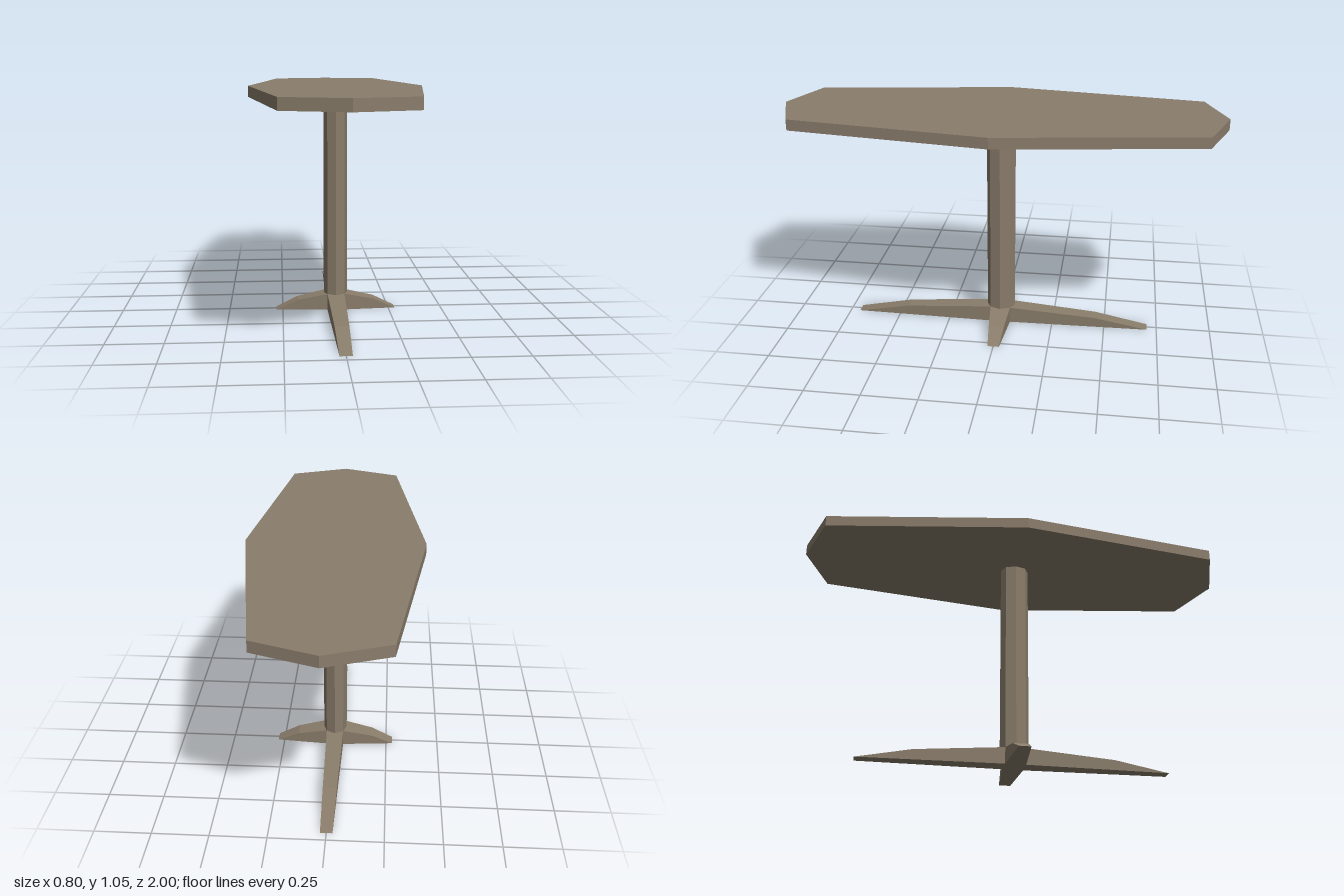
import * as THREE from 'three';

const material = new THREE.MeshStandardMaterial({ color: 0x8a7d6b, flatShading: true });

// Upright eight-sided prism; corner (cx, cz) sits between the axis points rx and rz.
function octagonPrism(name, rx, rz, cx, cz, y0, y1) {
  const outline = [[rx, 0], [cx, cz], [0, rz], [-cx, cz], [-rx, 0], [-cx, -cz], [0, -rz], [cx, -cz]];
  const shape = new THREE.Shape(outline.map(([x, z]) => new THREE.Vector2(x, z)));
  const geometry = new THREE.ExtrudeGeometry(shape, { depth: y1 - y0, bevelEnabled: false });
  geometry.rotateX(-Math.PI / 2).translate(0, y0, 0);
  const mesh = new THREE.Mesh(geometry, material);
  mesh.name = name;
  return mesh;
}

// Foot arm along +x: sloping side profile, narrowing evenly from hub to tip.
function footArm(name, start, mid, reach, hubHalf, tipHalf, angle) {
  const profile = [[start, 0], [reach, 0], [mid, 0.047], [start, 0.077]];
  const shape = new THREE.Shape(profile.map(([x, y]) => new THREE.Vector2(x, y)));
  const geometry = new THREE.ExtrudeGeometry(shape, { depth: 2, bevelEnabled: false });
  geometry.translate(0, 0, -1);
  const p = geometry.attributes.position;
  for (let i = 0; i < p.count; i++) {
    const t = (p.getX(i) - start) / (reach - start);
    p.setZ(i, p.getZ(i) * THREE.MathUtils.lerp(hubHalf, tipHalf, t));
  }
  geometry.computeVertexNormals();
  const mesh = new THREE.Mesh(geometry, material);
  mesh.name = name;
  mesh.rotation.y = angle;
  return mesh;
}

export function createModel() {
  const model = new THREE.Group();
  model.name = 'pedestalTable';

  model.add(octagonPrism('tableTop', 0.4, 1, 0.267, 0.905, 1, 1.05));
  model.add(octagonPrism('column', 0.055, 0.066, 0.04, 0.047, 0.075, 1));

  // Cross-shaped foot: central hub, two short side arms, two long arms
  const foot = new THREE.Group();
  foot.name = 'foot';
  const hub = new THREE.Mesh(new THREE.BoxGeometry(0.08, 0.077, 0.094), material);
  hub.name = 'footHub';
  hub.position.y = 0.0385;
  foot.add(hub);
  for (const [side, angle] of [['left', 0], ['right', Math.PI]]) {
    foot.add(footArm(side + 'FootArm', 0.04, 0.18, 0.28, 0.047, 0.027, angle));
  }
  for (const [side, angle] of [['front', -Math.PI / 2], ['back', Math.PI / 2]]) {
    foot.add(footArm(side + 'FootArm', 0.047, 0.455, 0.705, 0.04, 0.027, angle));
  }
  model.add(foot);
  return model;
}
